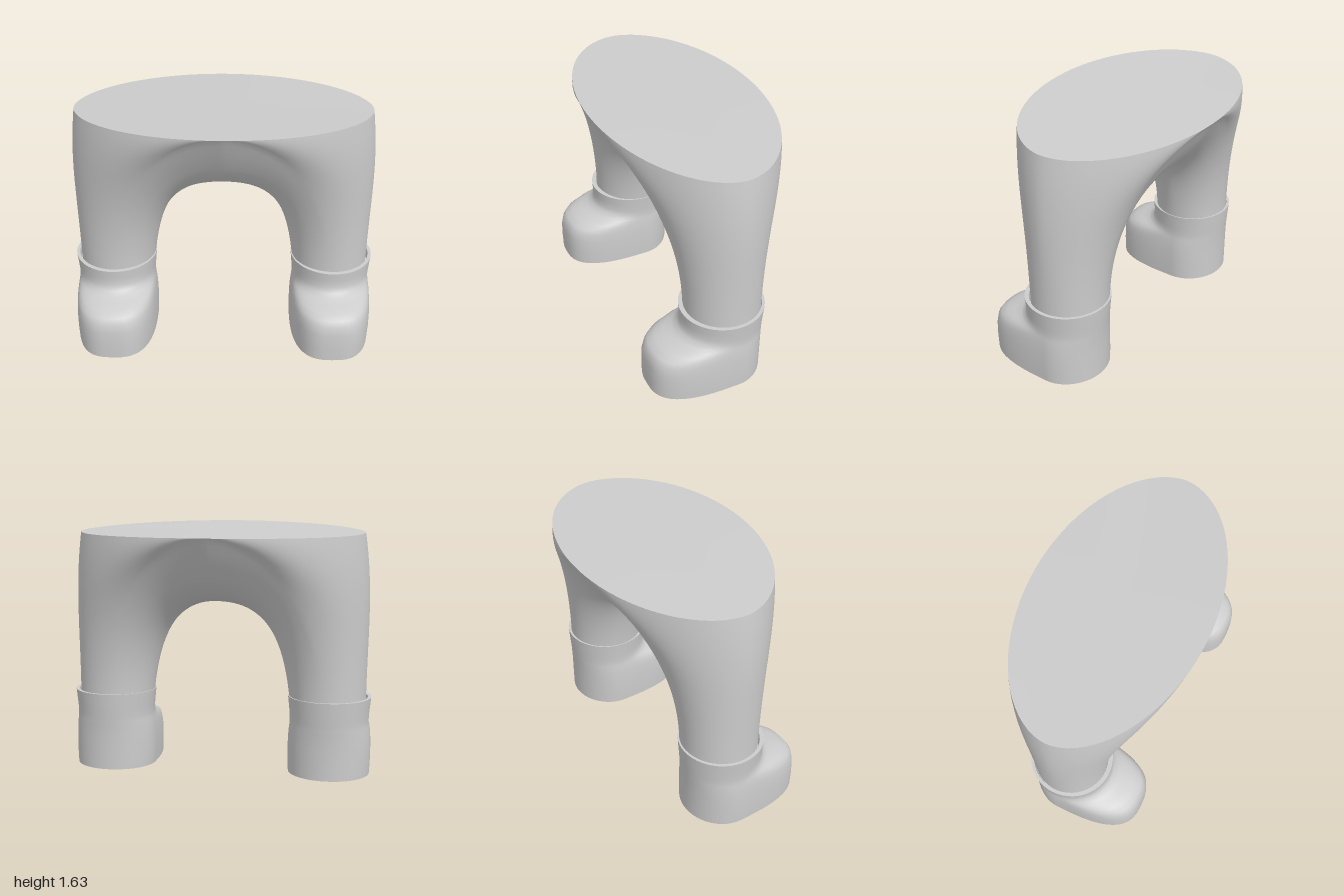
import * as THREE from 'three';
import { mergeGeometries, mergeVertices } from 'three/addons/utils/BufferGeometryUtils.js';

const V = (x, y, z) => new THREE.Vector3(x, y, z);

// Skin a stack of closed rings, ordered from bottom to top
function loft(rings) {
  const n = rings[0].length, index = [];
  for (let i = 0; i < rings.length - 1; i++) {
    for (let j = 0; j < n; j++) {
      const a = i * n + j, b = i * n + (j + 1) % n;
      index.push(a, a + n, b, b, a + n, b + n);
    }
  }
  const geo = new THREE.BufferGeometry().setFromPoints(rings.flat());
  geo.setIndex(index);
  geo.computeVertexNormals();
  return geo;
}

// Close one ring with a fan; up decides which way it faces
function fan(ring, centre, up) {
  const n = ring.length, index = [];
  for (let j = 0; j < n; j++) {
    const k = (j + 1) % n;
    index.push(n, up ? k : j, up ? j : k);
  }
  const geo = new THREE.BufferGeometry().setFromPoints([...ring, centre]);
  geo.setIndex(index);
  geo.computeVertexNormals();
  return geo;
}

const mirrorRing = ring => ring.map(p => V(-p.x, p.y, p.z)).reverse();

// Trousers: each leg ring opens into half the waist plus the crotch line
const HALF = 36, CORNER = 19, LEG_X = 0.717;
const rimY = (x, z) => 1.602 + 0.058 * z - 0.017 * (x / 0.94) ** 2;
const crotch = new THREE.CatmullRomCurve3([
  V(0, 1.635, 0.565), V(0, 1.43, 0.45), V(0, 1.27, 0.335), V(0, 1.16, 0.19), V(0, 1.13, 0),
]);

function legPath(j) {
  const angle = j * Math.PI / HALF, side = Math.sign(j), a = Math.abs(j);
  const start = V(LEG_X + 0.248 * Math.cos(angle), 0.45, 0.25 * Math.sin(angle));
  const low = start.clone();
  low.y = 0.95 + 0.25 * Math.sin(angle) ** 2;
  let end, high;
  if (a <= CORNER) {
    const f = a / CORNER, phi = f * Math.PI / 2;
    const x = a === CORNER ? 0 : 0.94 * Math.cos(phi);
    const z = side * 0.565 * Math.sin(phi) ** 1.08;
    end = V(x, rimY(x, z), z);
    high = V(x + 0.06 * (1 - f) + 0.28 * f * f, end.y - 0.4 * (1 - f * f), z * (0.87 + 0.08 * f));
  } else {
    const s = (a - CORNER) / (HALF - CORNER);
    const p = crotch.getPoint(s);
    const rise = (rimY(0, side * 0.565) - 1.13) / 0.505;
    end = V(0, 1.13 + (p.y - 1.13) * rise, side * p.z);
    high = V(0.28, end.y, end.z * (0.95 + 0.05 * s));
    low.x -= 0.05 * s;
  }
  return new THREE.CubicBezierCurve3(start, low, high, end);
}

function trouserRings() {
  const paths = [];
  for (let j = -HALF; j < HALF; j++) paths.push(legPath(j));
  return Array.from({ length: 33 }, (_, i) => paths.map(p => p.getPoint(i / 32)));
}

// Boot sections: height, half width, back, front, squareness of the toe
const BOOT = [
  [0.005, 0.268, 0.243, 0.535, 2.8],
  [0.10, 0.272, 0.243, 0.537, 2.8],
  [0.20, 0.271, 0.244, 0.534, 2.8],
  [0.26, 0.268, 0.246, 0.522, 2.7],
  [0.295, 0.265, 0.248, 0.498, 2.6],
  [0.32, 0.262, 0.25, 0.45, 2.4],
  [0.337, 0.26, 0.251, 0.39, 2.2],
  [0.352, 0.259, 0.252, 0.335, 2.1],
  [0.375, 0.259, 0.254, 0.298, 2],
  [0.41, 0.261, 0.257, 0.281, 2],
  [0.46, 0.266, 0.261, 0.281, 2],
  [0.52, 0.272, 0.265, 0.285, 2],
];

function bootRing([y, w, back, front, power]) {
  return Array.from({ length: 48 }, (_, j) => {
    const t = j * Math.PI / 24, c = Math.cos(t), s = Math.sin(t);
    const e = s > 0 ? 2 / power : 1;
    return V(w * Math.sign(c) * Math.abs(c) ** e, y,
      (s > 0 ? front : back) * Math.sign(s) * Math.abs(s) ** e);
  });
}

export function createModel() {
  const model = new THREE.Group();
  const grey = new THREE.MeshStandardMaterial({ color: 0xcccccc });
  grey.name = 'plain grey';
  const add = (parent, name, geo) => {
    const mesh = new THREE.Mesh(geo, grey);
    mesh.name = name;
    parent.add(mesh);
  };

  // Both legs welded along the centre line
  const rings = trouserRings();
  const halves = [loft(rings), loft(rings.map(mirrorRing))];
  halves.forEach(g => g.deleteAttribute('normal'));
  const trousers = mergeVertices(mergeGeometries(halves), 1e-5);
  trousers.computeVertexNormals();
  add(model, 'trousers', trousers);

  // Flat closed waist
  const arc = rings[rings.length - 1].slice(HALF - CORNER, HALF + CORNER + 1);
  const waist = [...arc, ...mirrorRing(arc).slice(1, -1)];
  add(model, 'waistTop', fan(waist, V(0, 1.602, 0), true));

  // Boots with a flat sole and a rim around the leg
  const sections = BOOT.map(bootRing);
  const outer = sections[sections.length - 1];
  const inner = bootRing([0.52, 0.25, 0.248, 0.255, 2]);
  const inside = bootRing([0.47, 0.244, 0.244, 0.248, 2]);
  for (const [name, side] of [['leftBoot', 1], ['rightBoot', -1]]) {
    const boot = new THREE.Group();
    boot.name = name;
    boot.position.x = side * 0.727;
    add(boot, 'bootShell', loft(sections));
    add(boot, 'cuffRim', loft([outer, inner]));
    add(boot, 'cuffLining', loft([inner, inside]));
    add(boot, 'sole', fan(sections[0], V(0, 0.005, 0.12), false));
    model.add(boot);
  }
  model.position.y = -0.005;
  const root = new THREE.Group();
  root.name = 'trousersAndBoots';
  root.add(model);
  return root;
}
